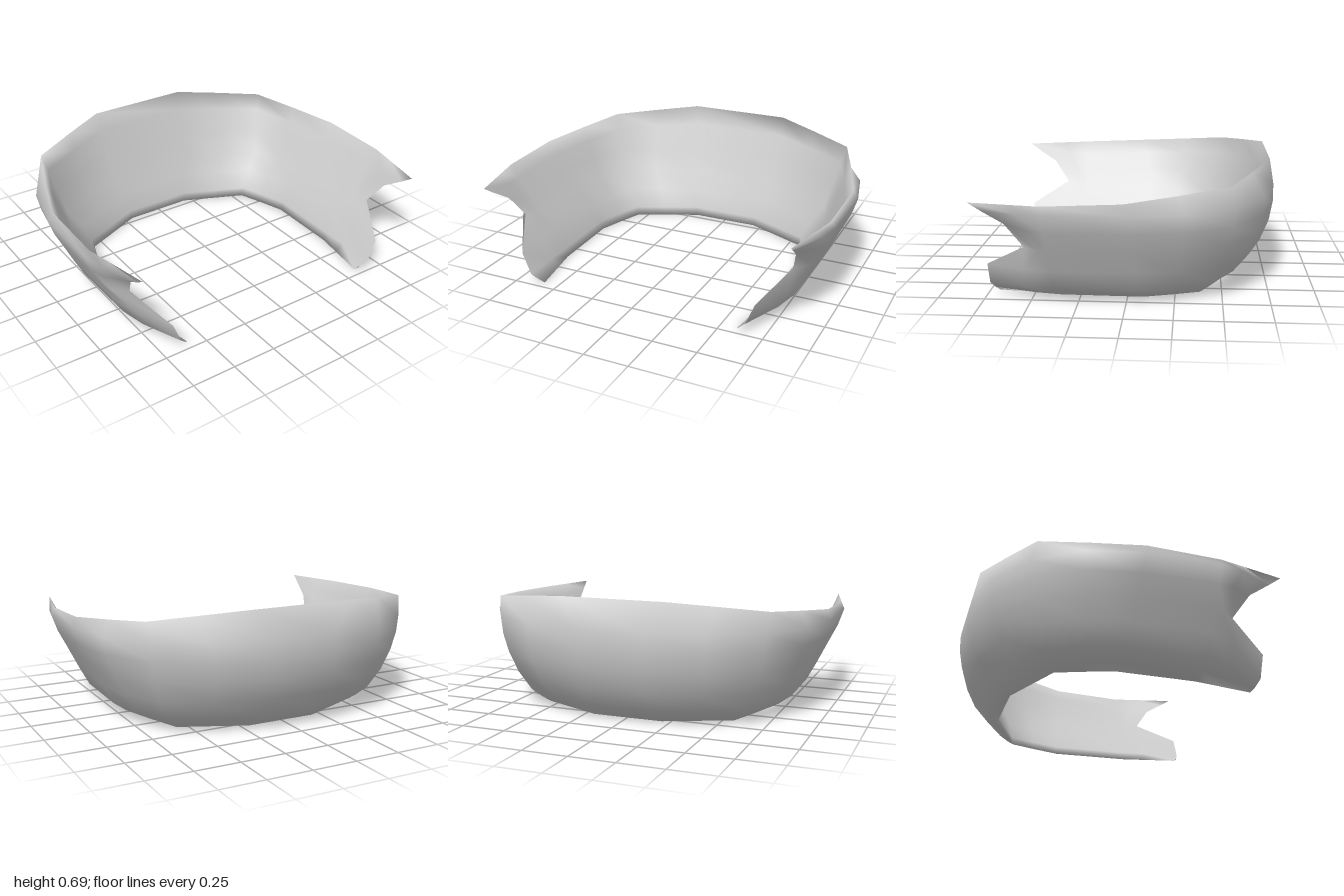
import * as THREE from 'three';

const { lerp } = THREE.MathUtils;
const mix = (a, b, t) => a.map((v, i) => lerp(v, b[i], t));

// Stations of one half, from the back centre forward: widest outline (x, z),
// foot (x, z), rim (x, y, z), inside waist (x, y, z), blend from back to side profile
const stations = [
  { out: [0.18, -0.79], foot: [0.20, -0.54], rim: [0.30, 0.685, -0.755], waist: [0.27, 0.27, -0.62], b: 0 },
  { out: [0.51, -0.72], foot: [0.38, -0.46], rim: [0.545, 0.658, -0.645], waist: [0.49, 0.27, -0.53], b: 0.1 },
  { out: [0.77, -0.555], foot: [0.56, -0.38], rim: [0.785, 0.63, -0.53], waist: [0.70, 0.27, -0.42], b: 0.35 },
  { out: [0.935, -0.30], foot: [0.61, -0.24], rim: [0.885, 0.603, -0.27], waist: [0.76, 0.27, -0.24], b: 0.7 },
  { out: [0.998, -0.02], foot: [0.66, -0.08], rim: [0.975, 0.577, 0], waist: [0.80, 0.27, -0.04], b: 1 },
  { out: [0.995, 0.40], foot: [0.65, 0.36], rim: [0.975, 0.56, 0.41], waist: [0.795, 0.27, 0.38], b: 1 },
];

// Outside wall going down: height, reach from foot to outline at back and side
const outerRows = [
  [0.52, 1.00, 1.00], [0.42, 1.00, 0.90], [0.31, 0.92, 0.74],
  [0.19, 0.72, 0.57], [0.08, 0.40, 0.40], [0.03, 0.16, 0.19],
];

// Notched front edge, from the upper tip to the foot (x, y, z)
const frontEdge = [
  [0.89, 0.555, 0.785], [0.88, 0.51, 0.72], [0.86, 0.44, 0.61], [0.82, 0.31, 0.52],
  [0.70, 0.18, 0.74], [0.65, 0.06, 0.74], [0.61, 0.02, 0.72], [0.59, 0.00, 0.70],
];
// Front edge point met by each row: rim, outside, foot, then back up the inside
const edgeOrder = [0, 1, 2, 3, 4, 5, 6, 7, 5, 4, 3, 2, 1];

// Closed wall section at one station
function section({ out, foot, rim, waist, b }) {
  const base = [foot[0], 0, foot[1]];
  const outside = outerRows.map(([y, back, flank]) => {
    const [x, z] = mix(foot, out, lerp(back, flank, b));
    return [x, y, z];
  });
  // The inside wall is slightly hollow below the waist
  const low = mix(base, waist, 0.1), mid = mix(base, waist, 0.48);
  low[1] = 0.05;
  mid[1] = 0.16;
  return [rim, ...outside, base, low, mid, waist, mix(waist, rim, 0.4), mix(waist, rim, 0.74)];
}

export function createModel() {
  const group = new THREE.Group();
  group.name = 'curvedGuard';

  // One half: wall sections, a slightly bulged one near the end, the front edge
  const half = stations.map(section);
  const edge = edgeOrder.map((i) => frontEdge[i]);
  const bevel = half[half.length - 1].map((p, k) => {
    const [x, y, z] = mix(p, edge[k], 0.4);
    return [k >= 1 && k <= 5 ? x + 0.018 : x, y, z];
  });
  half.push(bevel, edge);

  // Mirror it, running from the right tip around the back to the left tip
  const mirrored = half.map((s) => s.map(([x, y, z]) => [-x, y, z])).reverse();
  const sections = [...mirrored, ...half];

  const n = edgeOrder.length;
  const index = [];
  for (let j = 0; j < sections.length - 1; j++) {
    for (let k = 0; k < n; k++) {
      const a = j * n + k, b = j * n + ((k + 1) % n);
      const c = a + n, d = b + n;
      index.push(a, c, b, b, c, d);
    }
  }
  const geometry = new THREE.BufferGeometry();
  geometry.setAttribute('position', new THREE.Float32BufferAttribute(sections.flat(2), 3));
  geometry.setIndex(index);
  geometry.computeVertexNormals();

  const shell = new THREE.Mesh(
    geometry,
    new THREE.MeshStandardMaterial({ color: 0xcccccc, side: THREE.DoubleSide })
  );
  shell.name = 'guardShell';
  group.add(shell);
  return group;
}
